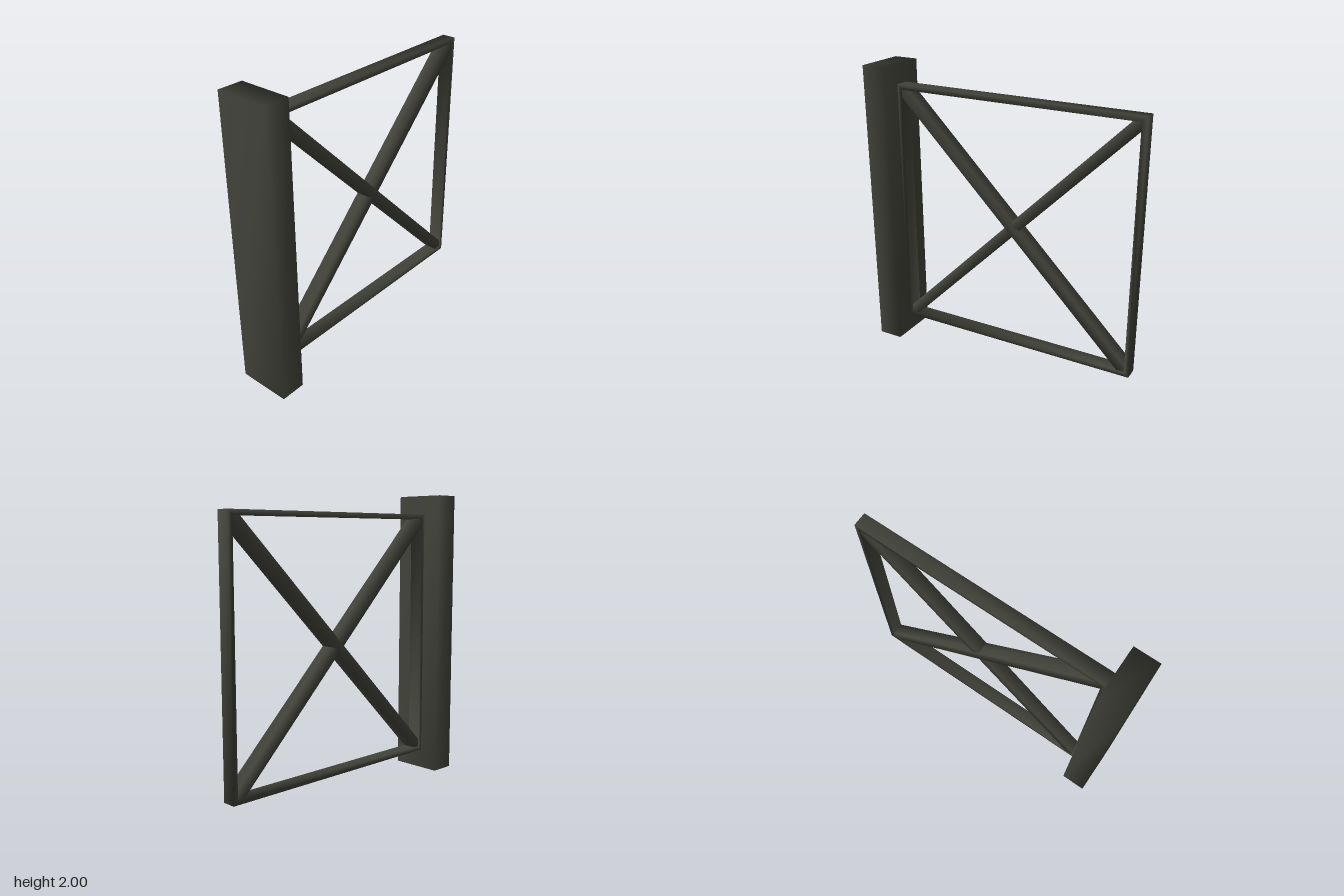
import * as THREE from 'three';
import { mergeVertices } from 'three/addons/utils/BufferGeometryUtils.js';

// Weld corners so shading runs softly across the edges
function soften(geometry) {
  geometry.deleteAttribute('normal');
  geometry.deleteAttribute('uv');
  const welded = mergeVertices(geometry, 1e-4);
  welded.computeVertexNormals();
  return welded;
}

export function createModel() {
  const group = new THREE.Group();
  const iron = new THREE.MeshStandardMaterial({ color: 0x42433a });
  iron.name = 'dark iron';

  const add = (name, geometry, x, y, z = 0, turn = 0) => {
    const mesh = new THREE.Mesh(soften(geometry), iron);
    mesh.name = name;
    mesh.position.set(x, y, z);
    mesh.rotation.z = turn;
    group.add(mesh);
  };

  // Upright post carrying the gate
  add('post', new THREE.BoxGeometry(0.172, 2, 0.36), -0.865, 1);

  // Rectangular frame with an open middle
  const left = -0.78, right = 0.95, bottom = 0.135, top = 1.868;
  const bar = 0.033, depth = 0.094;
  const corners = (inset) => [
    [left + inset, bottom + inset], [right - inset, bottom + inset],
    [right - inset, top - inset], [left + inset, top - inset],
  ].map(([x, y]) => new THREE.Vector2(x, y));
  const outline = new THREE.Shape(corners(0));
  outline.holes.push(new THREE.Path(corners(bar).reverse()));
  add('frame', new THREE.ExtrudeGeometry(outline, { depth, bevelEnabled: false }), 0, 0, -depth / 2);

  // Crossed braces, ending inside the frame corners
  const braceWidth = 0.075, inset = 0.028;
  const w = right - left - 2 * inset, h = top - bottom - 2 * inset;
  for (const side of [1, -1]) {
    add(side > 0 ? 'risingBrace' : 'fallingBrace',
      new THREE.BoxGeometry(Math.hypot(w, h), braceWidth, depth - 0.004),
      (left + right) / 2, (top + bottom) / 2, 0, side * Math.atan2(h, w));
  }
  return group;
}
